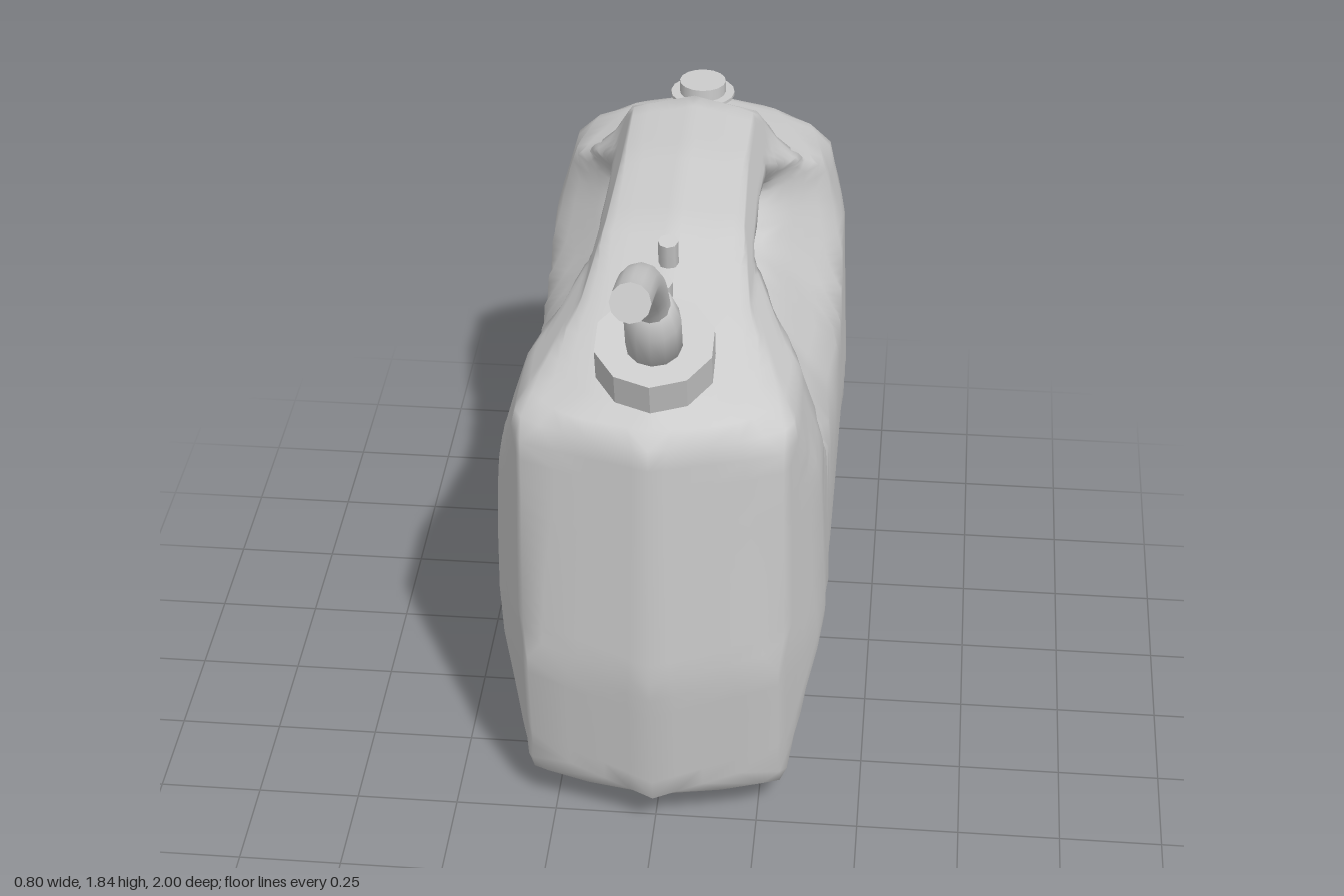
import * as THREE from 'three';
import { mergeVertices } from 'three/addons/utils/BufferGeometryUtils.js';

const material = new THREE.MeshStandardMaterial({ color: 0xcccccc });

// Side outline of the can and of the grip hole, as [z, y], running front, bottom, back, top
const lower = [[0.65, 1.2], [0.65, 0.53], [0.58, 0.12], [0.36, 0], [-0.82, 0], [-0.96, 0.09], [-1, 0.53], [-1, 1.2]];
const upper = [[-1, 1.2], [-0.95, 1.26], [-0.69, 1.29], [-0.625, 1.4], [-0.57, 1.45], [-0.3, 1.45], [0, 1.425], [0.3, 1.35], [0.58, 1.265], [0.65, 1.2]];
const hole = [[0.02, 1.2], [-0.01, 1.14], [-0.22, 1.11], [-0.43, 1.14], [-0.48, 1.2], [-0.41, 1.265], [-0.22, 1.285], [-0.05, 1.28]];
const centre = [-0.23, 1.2];

// Linear interpolation in a list of [key, value]
function lerpTable(table, k) {
  if (k <= table[0][0]) return table[0][1];
  for (let i = 1; i < table.length; i++) {
    const [k0, v0] = table[i - 1], [k1, v1] = table[i];
    if (k <= k1) return v0 + (v1 - v0) * (k - k0) / (k1 - k0);
  }
  return table[table.length - 1][1];
}

// Distance from a point to a polyline
function distanceTo(line, p, closed) {
  let best = Infinity;
  const n = closed ? line.length : line.length - 1;
  for (let i = 0; i < n; i++) {
    const a = line[i], b = line[(i + 1) % line.length];
    const dz = b[0] - a[0], dy = b[1] - a[1];
    const t = THREE.MathUtils.clamp(((p[0] - a[0]) * dz + (p[1] - a[1]) * dy) / (dz * dz + dy * dy), 0, 1);
    best = Math.min(best, Math.hypot(p[0] - a[0] - t * dz, p[1] - a[1] - t * dy));
  }
  return best;
}

// Where a ray from the grip centre towards p meets the hole
function holePoint(p) {
  const rz = p[0] - centre[0], ry = p[1] - centre[1];
  for (let i = 0; i < hole.length; i++) {
    const a = hole[i], b = hole[(i + 1) % hole.length];
    const ez = b[0] - a[0], ey = b[1] - a[1];
    const az = a[0] - centre[0], ay = a[1] - centre[1];
    const det = rz * ey - ry * ez;
    if (Math.abs(det) < 1e-9) continue;
    const t = (az * ey - ay * ez) / det, s = (az * ry - ay * rz) / det;
    if (t > 0 && s >= -1e-6 && s <= 1 + 1e-6) return [centre[0] + rz * t, centre[1] + ry * t];
  }
  return centre;
}

// Half thickness of the can: the smallest of its width, end, top, bottom and grip limits
const widthByHeight = [[0, 0.29], [0.03, 0.3], [0.53, 0.4], [1, 0.38], [1.2, 0.32], [1.32, 0.2], [1.43, 0.15], [1.46, 0.1]];
const frontEdge = [[0, 0.36], [0.12, 0.58], [0.53, 0.65], [1.2, 0.65], [1.27, 0.6]];
const backEdge = [[0, -0.82], [0.09, -0.96], [0.53, -1], [1.2, -1], [1.27, -0.95]];
const frontTaper = [[0, 0], [0.08, 0.3], [0.3, 0.4]];
const backTaper = [[0, 0], [0.05, 0.3], [0.18, 0.4]];
const topRound = [[0, 0], [0.02, 0.14], [0.06, 0.27], [0.12, 0.4]];
const gripScoop = [[0, 0], [0.015, 0.1], [0.05, 0.18], [0.1, 0.23], [0.32, 0.4]];
function halfThickness(p) {
  const [z, y] = p;
  return Math.max(0, Math.min(
    lerpTable(widthByHeight, y),
    lerpTable(frontTaper, lerpTable(frontEdge, y) - z),
    lerpTable(backTaper, z - lerpTable(backEdge, y)),
    lerpTable(topRound, distanceTo(upper, p, false)),
    lerpTable(gripScoop, distanceTo(hole, p, true)),
    y * 12
  ));
}

// Two mirrored skins stretched from the hole rim to the outline, welded at x = 0
function bodyGeometry() {
  const corners = [...lower, ...upper.slice(1, -1)];
  const outline = [];
  corners.forEach((a, i) => {
    const b = corners[(i + 1) % corners.length];
    const steps = Math.max(2, Math.ceil(Math.hypot(b[0] - a[0], b[1] - a[1]) / 0.06));
    for (let k = 0; k < steps; k++) outline.push([a[0] + (b[0] - a[0]) * k / steps, a[1] + (b[1] - a[1]) * k / steps]);
  });
  const rows = [0, 0.015, 0.04, 0.08, 0.13, 0.19, 0.25, 0.32, 0.4, 0.48, 0.56, 0.64, 0.71, 0.77, 0.82, 0.87, 0.91, 0.94, 0.965, 0.983, 1];
  const positions = [], index = [];
  const n = outline.length, m = rows.length;
  for (const side of [1, -1]) {
    const base = positions.length / 3;
    for (const o of outline) {
      const h = holePoint(o);
      rows.forEach((v, j) => {
        const p = [h[0] + (o[0] - h[0]) * v, h[1] + (o[1] - h[1]) * v];
        const x = j === 0 || j === m - 1 ? 0 : side * halfThickness(p);
        positions.push(x, p[1], p[0]);
      });
    }
    for (let i = 0; i < n; i++) {
      for (let j = 0; j < m - 1; j++) {
        const a = base + i * m + j, b = a + 1;
        const d = base + ((i + 1) % n) * m + j, c = d + 1;
        if (side > 0) index.push(a, b, c, a, c, d);
        else index.push(a, c, b, a, d, c);
      }
    }
  }
  const g = new THREE.BufferGeometry();
  g.setAttribute('position', new THREE.Float32BufferAttribute(positions, 3));
  g.setIndex(index);
  const welded = mergeVertices(g, 1e-4);
  welded.computeVertexNormals();
  return welded;
}

export function createModel() {
  const group = new THREE.Group();
  const flat = material.clone();
  flat.flatShading = true;
  const add = (name, geometry, y = 0, z = 0, tilt = 0, mat = material) => {
    const mesh = new THREE.Mesh(geometry, mat);
    mesh.name = name;
    mesh.position.set(0, y, z);
    mesh.rotation.x = tilt;
    group.add(mesh);
  };

  add('canBody', bodyGeometry());

  // Filler cap and curved pouring spout
  add('fillerCap', new THREE.CylinderGeometry(0.14, 0.14, 0.09, 10), 1.348, 0.47, 0.3, flat);
  const collar = [[0, 0], [0.065, 0], [0.065, 0.1], [0.045, 0.17], [0, 0.17]].map(([r, y]) => new THREE.Vector2(r, y));
  add('spoutCollar', new THREE.LatheGeometry(collar, 12), 1.385, 0.495, 0.38);
  const path = new THREE.CatmullRomCurve3(
    [[1.5, 0.54], [1.57, 0.59], [1.66, 0.69], [1.75, 0.83], [1.803, 0.99]].map(([y, z]) => new THREE.Vector3(0, y, z)));
  add('spoutTube', new THREE.TubeGeometry(path, 16, 0.044, 12));
  const end = new THREE.CircleGeometry(0.044, 12);
  const tangent = path.getTangent(1);
  add('spoutEnd', end, 1.803, 0.99, -Math.atan2(tangent.y, tangent.z));

  // Two vent pegs behind the filler cap
  for (const [y, z] of [[1.39, 0.288], [1.415, 0.145]])
    add('ventPeg', new THREE.CylinderGeometry(0.024, 0.024, 0.08, 8), y, z, 0.22);

  // Rear breather plug with a thin flange
  add('breatherPlug', new THREE.CylinderGeometry(0.06, 0.06, 0.09, 16), 1.312, -0.83);
  add('breatherFlange', new THREE.CylinderGeometry(0.083, 0.083, 0.008, 16), 1.322, -0.83);
  return group;
}
